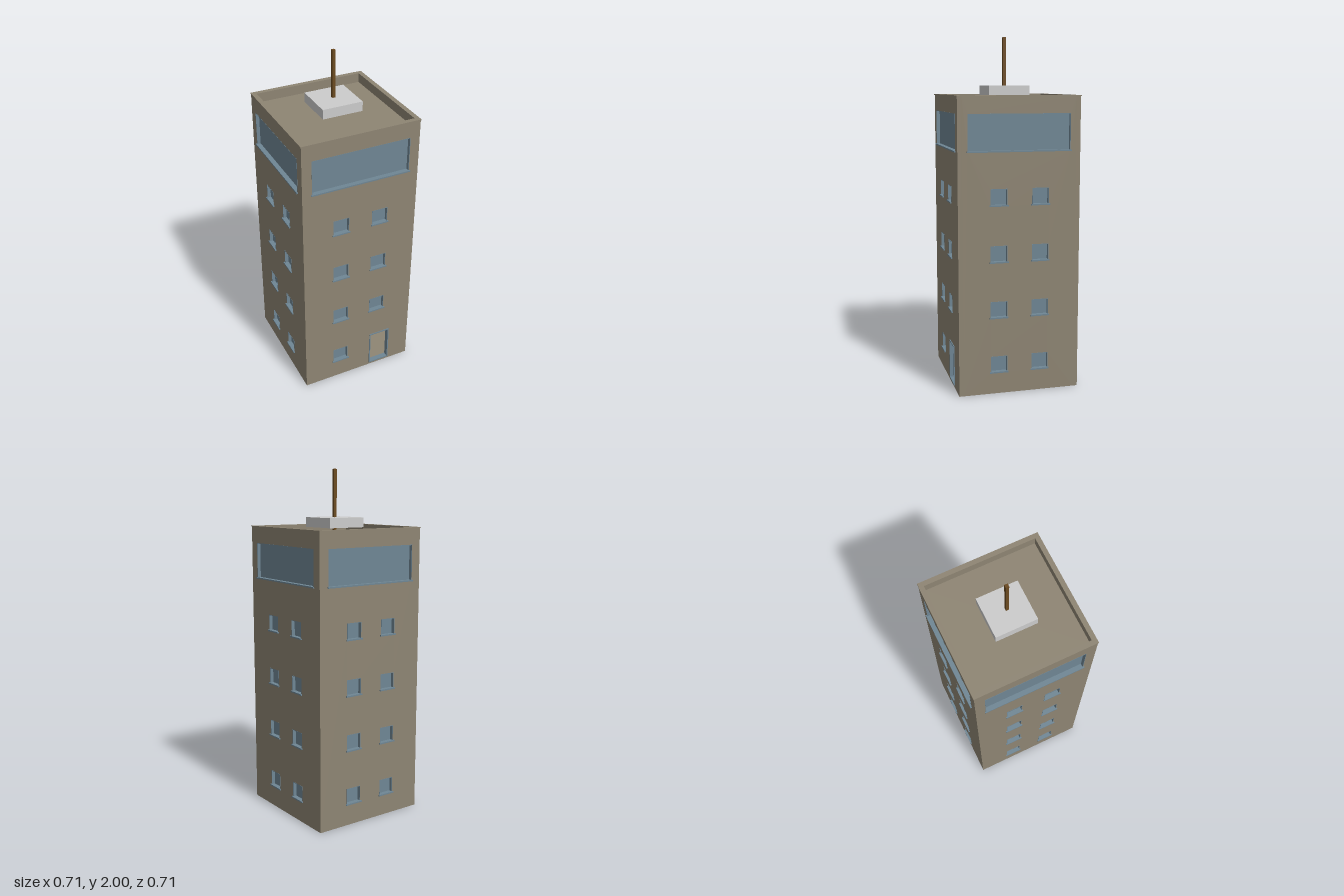
import * as THREE from 'three';

const H = 0.348;      // half width of the tower
const T = 0.025;      // wall thickness
const TOP = 1.675;    // parapet height
const ROOF = 1.62;    // roof deck height

const mat = (name, color) => {
  const m = new THREE.MeshStandardMaterial({ color });
  m.name = name;
  return m;
};

function add(parent, name, geometry, material) {
  const mesh = new THREE.Mesh(geometry, material);
  mesh.name = name;
  parent.add(mesh);
  return mesh;
}

function box(parent, name, material, w, h, d, x, y, z) {
  const mesh = add(parent, name, new THREE.BoxGeometry(w, h, d), material);
  mesh.position.set(x, y, z);
  return mesh;
}

// Rectangular outline, usable as a shape or as a hole
function rect(x0, y0, x1, y1, Type = THREE.Shape) {
  const r = new Type();
  r.moveTo(x0, y0);
  r.lineTo(x1, y0);
  r.lineTo(x1, y1);
  r.lineTo(x0, y1);
  r.closePath();
  return r;
}

function extrude(shape, depth, z = 0) {
  return new THREE.ExtrudeGeometry(shape, { depth, bevelEnabled: false }).translate(0, 0, z);
}

// Rectangular border of thickness b lining an opening
function border({ x0, y0, x1, y1 }, b, z0, z1) {
  const s = rect(x0, y0, x1, y1);
  s.holes.push(rect(x0 + b, y0 + b, x1 - b, y1 - b, THREE.Path));
  return extrude(s, z1 - z0, z0);
}

export function createModel() {
  const wallMat = mat('taupe wall', 0x8e8573);
  const glassMat = mat('blue glass', 0x6f8694);
  const plinthMat = mat('pale grey plinth', 0xcccccc);
  const mastMat = mat('brown mast', 0x6b4a20);

  const tower = new THREE.Group();
  tower.name = 'tower';

  // Four walls with real openings; the front one has a doorway
  const door = { x0: 0.08, y0: 0.015, x1: 0.214, y1: 0.25 };
  for (let side = 0; side < 4; side++) {
    const wall = new THREE.Group();
    wall.name = ['frontSide', 'leftSide', 'backSide', 'rightSide'][side];
    wall.rotation.y = side * Math.PI / 2;
    tower.add(wall);

    const windows = [{ x0: -0.291, y0: 1.372, x1: 0.291, y1: 1.577 }];
    for (let floor = 0; floor < 4; floor++) {
      for (const x of [-0.119, 0.119]) {
        if (side === 0 && floor === 0 && x > 0) continue;
        const y = 0.124 + floor * 0.317;
        windows.push({ x0: x - 0.048, y0: y, x1: x + 0.048, y1: y + 0.094 });
      }
    }

    const half = side % 2 ? H - T : H;
    const panel = rect(-half, 0, half, TOP - 0.006);
    const openings = side === 0 ? [...windows, door] : windows;
    for (const o of openings) panel.holes.push(rect(o.x0, o.y0, o.x1, o.y1, THREE.Path));
    add(wall, 'wall', extrude(panel, T, H - T), wallMat);

    for (const o of windows) {
      const w = o.x1 - o.x0, h = o.y1 - o.y0, x = (o.x0 + o.x1) / 2;
      add(wall, 'windowFrame', border(o, 0.003, H - T, H + 0.001), glassMat);
      box(wall, 'windowGlass', glassMat, w, h, 0.004, x, o.y0 + h / 2, H - 0.021);
      box(wall, 'windowSill', glassMat, w + 0.012, 0.008, 0.029, x, o.y0 + 0.001, H - 0.006);
    }
    if (side === 0) add(wall, 'doorFrame', border(door, 0.007, H - T, H + 0.005), glassMat);
  }

  // Ground floor slab and roof deck inside the walls
  const inner = 2 * (H - T);
  box(tower, 'groundFloor', wallMat, inner, 0.015, inner, 0, 0.0075, 0);
  box(tower, 'roofDeck', wallMat, inner, 0.03, inner, 0, ROOF - 0.015, 0);

  // Thin coping around the parapet
  const coping = rect(-0.351, -0.351, 0.351, 0.351);
  coping.holes.push(rect(T - H, T - H, H - T, H - T, THREE.Path));
  add(tower, 'parapetCoping', extrude(coping, 0.006).rotateX(-Math.PI / 2), wallMat)
    .position.y = TOP - 0.006;

  // Raised slab carried by the mast
  box(tower, 'mastPlinth', plinthMat, 0.238, 0.056, 0.238, 0, 1.699, 0);
  box(tower, 'mast', mastMat, 0.018, 2 - ROOF, 0.018, 0, (2 + ROOF) / 2, 0);

  return tower;
}
